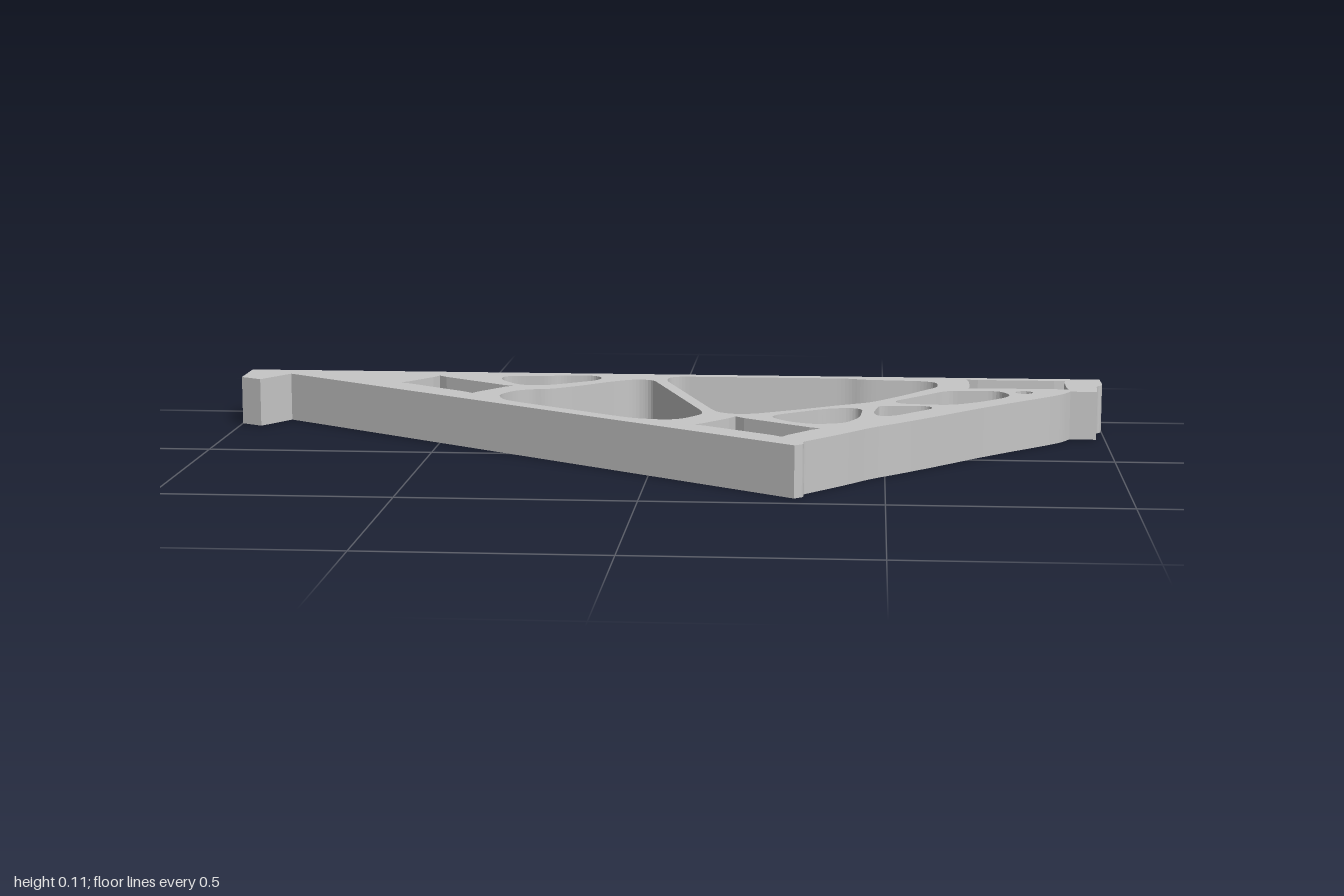
import * as THREE from 'three';

const HEIGHT = 0.11;

// Closed path from [x, z, radius] corners; corners without a radius use r.
function tracePath(path, points, r) {
  const v = points.map(([x, z]) => new THREE.Vector2(x, -z));
  const n = v.length;
  v.forEach((p, i) => {
    const radius = points[i][2] ?? r;
    const toward = (q) => {
      const d = p.distanceTo(q);
      return p.clone().lerp(q, Math.min(radius, d * 0.45) / d);
    };
    const a = toward(v[(i + n - 1) % n]);
    const b = toward(v[(i + 1) % n]);
    if (i === 0) path.moveTo(a.x, a.y);
    else path.lineTo(a.x, a.y);
    if (radius > 0) path.quadraticCurveTo(p.x, p.y, b.x, b.y);
  });
  path.closePath();
  return path;
}

// Give each corner of a rectangle a slight outward relief.
function relieveCorners(points) {
  const v = points.map(([x, z]) => new THREE.Vector2(x, z));
  return v.flatMap((p, i) => {
    const before = v[(i + 3) % 4].clone().sub(p).setLength(0.022);
    const after = v[(i + 1) % 4].clone().sub(p).setLength(0.022);
    const ear = before.clone().add(after).setLength(-0.006);
    return [before, ear, after].map((o) => o.add(p).toArray());
  });
}

// Outer edge: hooked left end, straight lower side, wavy right flank, back rail
const outline = [
  [-1, -0.45], [-1, -0.335], [-0.95, -0.305], [-0.895, -0.393], [0.315, 0.45],
  [0.335, 0.432, 0.01], [0.33, 0.41, 0.01], [0.42, 0.3, 0.04], [0.47, 0.232, 0.04],
  [0.53, 0.172, 0.04], [0.585, 0.112, 0.04], [0.64, 0.05, 0.04], [0.7, -0.02, 0.04],
  [0.78, -0.105, 0.04], [0.86, -0.185, 0.04], [0.9, -0.23, 0.03], [0.92, -0.27],
  [0.98, -0.27], [0.985, -0.35, 0.02], [1, -0.365, 0.02], [1, -0.45],
];

// Rectangular sockets
const sockets = [
  [[0.695, -0.422], [0.915, -0.422], [0.915, -0.302], [0.695, -0.302]],
  [[-0.54, -0.386], [-0.357, -0.255], [-0.43, -0.154], [-0.61, -0.285]],
  [[0.18, 0.122], [0.358, 0.25], [0.285, 0.348], [0.102, 0.222]],
];

// Rounded lightening openings
const openings = [
  // central
  [[-0.003, -0.4], [0.02, -0.42], [0.415, -0.42], [0.455, -0.405], [0.59, -0.395],
    [0.622, -0.375], [0.622, -0.31], [0.59, -0.265], [0.55, -0.2], [0.5, -0.13],
    [0.468, -0.088], [0.4, -0.045], [0.32, 0.013], [0.22, 0.078], [0.18, 0.088],
    [0.14, 0.067], [0.125, 0.035], [-0.003, -0.355]],
  // left
  [[-0.035, -0.365], [0.105, 0.06], [0.105, 0.095], [0.065, 0.155], [0.03, 0.168],
    [-0.035, 0.155], [-0.075, 0.13], [-0.31, -0.034], [-0.35, -0.068], [-0.367, -0.13],
    [-0.34, -0.185], [-0.305, -0.21], [-0.26, -0.217], [-0.195, -0.27], [-0.13, -0.335],
    [-0.08, -0.37]],
  // upper left
  [[-0.39, -0.39], [-0.365, -0.4], [-0.28, -0.405], [-0.25, -0.42], [-0.18, -0.42],
    [-0.155, -0.39], [-0.165, -0.35], [-0.205, -0.32], [-0.265, -0.275], [-0.31, -0.265],
    [-0.345, -0.28], [-0.39, -0.345]],
  // lower right
  [[0.255, 0.12], [0.265, 0.088], [0.375, 0], [0.43, -0.013], [0.452, 0.008],
    [0.445, 0.11], [0.415, 0.18], [0.35, 0.2], [0.295, 0.172]],
  // small middle right
  [[0.49, -0.045], [0.595, -0.05], [0.607, -0.02], [0.565, 0.03], [0.52, 0.083],
    [0.485, 0.088], [0.474, 0.05], [0.484, -0.025]],
  // upper right
  [[0.64, -0.26], [0.76, -0.265], [0.783, -0.217], [0.773, -0.18], [0.714, -0.115],
    [0.655, -0.072], [0.618, -0.067], [0.532, -0.077], [0.52, -0.11], [0.564, -0.163],
    [0.607, -0.217]],
];

export function createModel() {
  const grey = new THREE.MeshStandardMaterial({ color: 0xc6c6c6 });
  grey.name = 'grey';

  const shape = tracePath(new THREE.Shape(), outline, 0);
  for (const s of sockets) shape.holes.push(tracePath(new THREE.Path(), relieveCorners(s), 0));
  for (const o of openings) shape.holes.push(tracePath(new THREE.Path(), o, 0.025));

  // Round pin hole beside the right socket
  const pin = new THREE.Path();
  pin.absarc(0.815, 0.25, 0.02, 0, Math.PI * 2, true);
  shape.holes.push(pin);

  // Lay the plate flat, standing on y = 0
  const geometry = new THREE.ExtrudeGeometry(shape, {
    depth: HEIGHT, bevelEnabled: false, curveSegments: 5,
  });
  geometry.rotateX(-Math.PI / 2);

  const plate = new THREE.Mesh(geometry, grey);
  plate.name = 'trussPlate';
  const group = new THREE.Group();
  group.name = 'triangularBracket';
  group.add(plate);
  return group;
}
